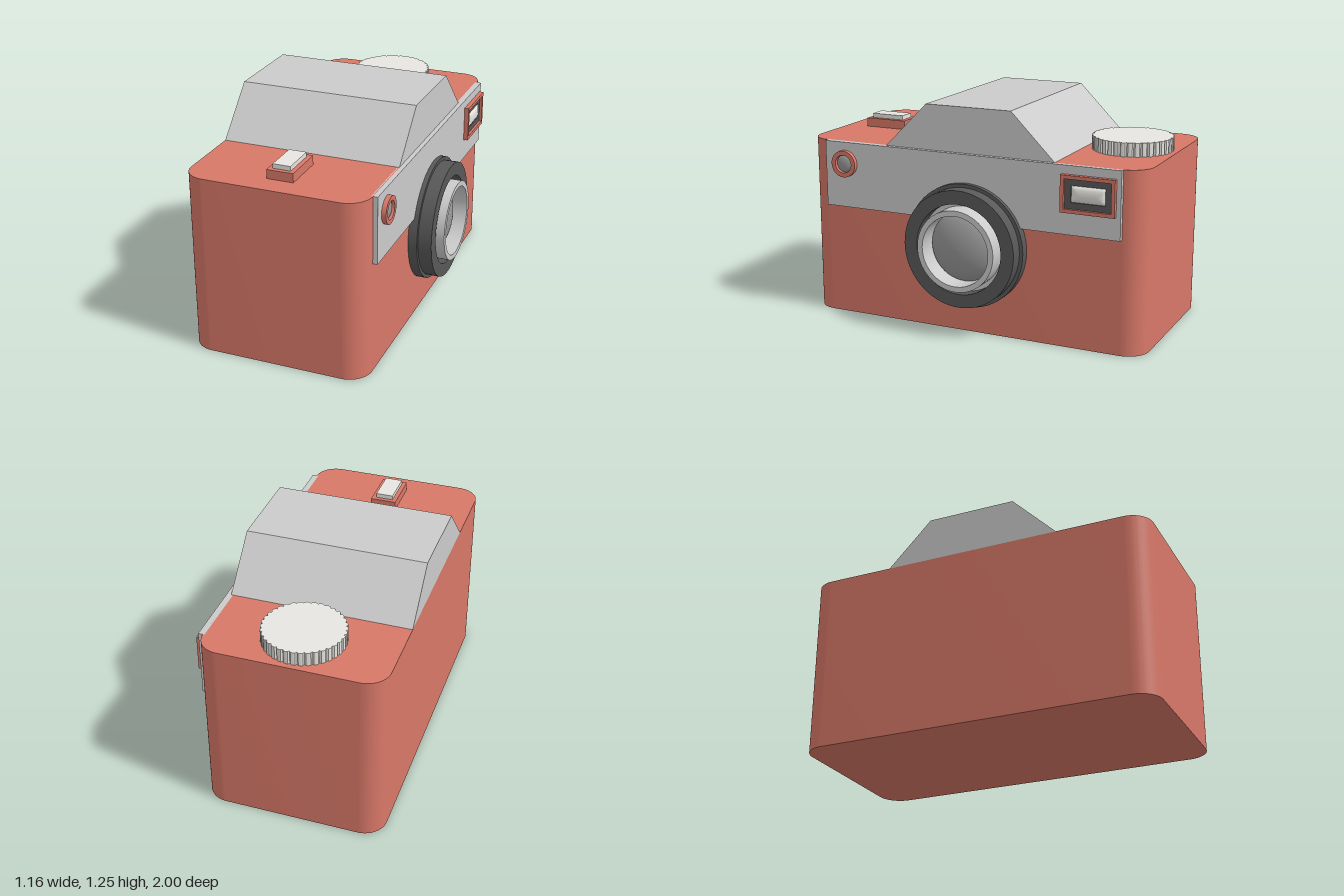
import * as THREE from 'three';
import { toCreasedNormals } from 'three/addons/utils/BufferGeometryUtils.js';

const paint = (color) => new THREE.MeshStandardMaterial({ color });
const red = paint(0xd87868);
const grey = paint(0xcccccc);
const dark = paint(0x585858);
const pale = paint(0xe8e6e1);
const glass = paint(0x999999);

const BACK = -0.58, FRONT = 0.415, PLATE = 0.44;

export function createModel() {
  const model = new THREE.Group();

  const add = (name, geometry, material, x = 0, y = 0, z = 0) => {
    const mesh = new THREE.Mesh(geometry, material);
    mesh.name = name;
    mesh.position.set(x, y, z);
    model.add(mesh);
    return mesh;
  };

  // Box given by its lowest and highest corners
  const box = (name, material, [x0, y0, z0], [x1, y1, z1]) =>
    add(name, new THREE.BoxGeometry(x1 - x0, y1 - y0, z1 - z0), material,
      (x0 + x1) / 2, (y0 + y1) / 2, (z0 + z1) / 2);

  const extrude = (shape, depth, curveSegments = 12) =>
    toCreasedNormals(new THREE.ExtrudeGeometry(shape, { depth, bevelEnabled: false, curveSegments }), 0.5);

  // Turned part about the x axis; profile points are [radius, x]
  const turned = (profile, segments = 64) =>
    toCreasedNormals(new THREE.LatheGeometry(profile.map(([r, x]) => new THREE.Vector2(r, x)), segments)
      .rotateZ(-Math.PI / 2), 0.6);

  // Shallow glass dome bulging toward +x
  const dome = (radius, height) => {
    const profile = [];
    for (let i = 0; i <= 12; i++) {
      const a = (i / 12) * Math.PI / 2;
      profile.push(new THREE.Vector2(i === 12 ? 0 : radius * Math.cos(a), height * Math.sin(a)));
    }
    return new THREE.LatheGeometry(profile, 48).rotateZ(-Math.PI / 2);
  };

  const rectangle = (w, h) => [[-w, -h], [w, -h], [w, h], [-w, h]]
    .map(([x, y]) => new THREE.Vector2(x / 2, y / 2));

  // Rectangular frame facing +x
  const frame = (w, h, innerW, innerH, depth) => {
    const shape = new THREE.Shape(rectangle(w, h));
    shape.holes.push(new THREE.Path(rectangle(innerW, innerH).reverse()));
    return extrude(shape, depth).rotateY(Math.PI / 2);
  };

  // Body with rounded upright corners
  const r = 0.125;
  const outline = new THREE.Shape();
  outline.absarc(FRONT - r, 1 - r, r, 0, Math.PI / 2);
  outline.absarc(BACK + r, 1 - r, r, Math.PI / 2, Math.PI);
  outline.absarc(BACK + r, -1 + r, r, Math.PI, Math.PI * 1.5);
  outline.absarc(FRONT - r, -1 + r, r, Math.PI * 1.5, Math.PI * 2);
  add('body', extrude(outline, 1).rotateX(-Math.PI / 2), red);

  // Prism housing on top, running front to back
  const trapezoid = new THREE.Shape([[-0.5, 1], [0.5, 1], [0.25, 1.25], [-0.25, 1.25]]
    .map(([x, y]) => new THREE.Vector2(x, y)));
  add('prismHousing', extrude(trapezoid, FRONT - BACK).rotateY(Math.PI / 2), grey, BACK);

  // Front plate
  box('frontPlate', grey, [FRONT - 0.01, 0.63, -0.875], [PLATE, 1, 0.875]);

  // Lens: stepped barrel, inner ring and glass
  add('lensBarrel', turned([
    [0.345, 0.4], [0.345, 0.465], [0.325, 0.465], [0.325, 0.54], [0.25, 0.54], [0.25, 0.45],
  ]), dark, 0, 0.5);
  add('lensRing', turned([
    [0.25, 0.47], [0.225, 0.47], [0.225, 0.58], [0.195, 0.58], [0.195, 0.44],
  ]), grey, 0, 0.5);
  add('lensGlass', dome(0.198, 0.09), glass, 0.45, 0.5);

  // Small round lamp on the plate
  add('lampRing', turned([[0.075, 0.43], [0.075, 0.465], [0.05, 0.465], [0.05, 0.43]], 40), red, 0, 0.88, 0.75);
  add('lampGlass', dome(0.051, 0.02), glass, PLATE + 0.001, 0.88, 0.75);

  // Viewfinder: outer frame, dark inner frame and bulged window
  const vy = 0.853, vz = -0.7;
  add('viewfinderFrame', frame(0.3, 0.2, 0.26, 0.16, 0.035), red, 0.43, vy, vz);
  add('viewfinderInnerFrame', frame(0.26, 0.16, 0.19, 0.09, 0.02), dark, 0.43, vy, vz);
  const pane = new THREE.PlaneGeometry(0.19, 0.09, 20, 10);
  const p = pane.attributes.position;
  for (let i = 0; i < p.count; i++) {
    const u = Math.max(0, (Math.abs(p.getX(i)) - 0.05) / 0.045);
    const v = Math.abs(p.getY(i)) / 0.045;
    p.setZ(i, 0.018 * Math.sqrt(Math.max(0, 1 - Math.max(u, v) ** 2)));
  }
  pane.computeVertexNormals();
  add('viewfinderWindow', pane.rotateY(Math.PI / 2), pale, PLATE + 0.002, vy, vz);

  // Knurled dial with narrow notches
  const teeth = 36, rim = [];
  for (let i = 0; i < teeth; i++) {
    for (const [t, radius] of [[0, 0.211], [0.2, 0.22], [0.5, 0.222], [0.8, 0.22]]) {
      const a = ((i + t) / teeth) * Math.PI * 2;
      rim.push(new THREE.Vector2(radius * Math.cos(a), radius * Math.sin(a)));
    }
  }
  add('dial', extrude(new THREE.Shape(rim), 0.075).rotateX(-Math.PI / 2), pale, -0.085, 1, -0.75);

  // Shutter button on its base
  box('buttonBase', red, [-0.157, 0.99, 0.625], [-0.01, 1.05, 0.873]);
  box('shutterButton', pale, [-0.133, 1.04, 0.65], [-0.035, 1.075, 0.848]);

  return model;
}
